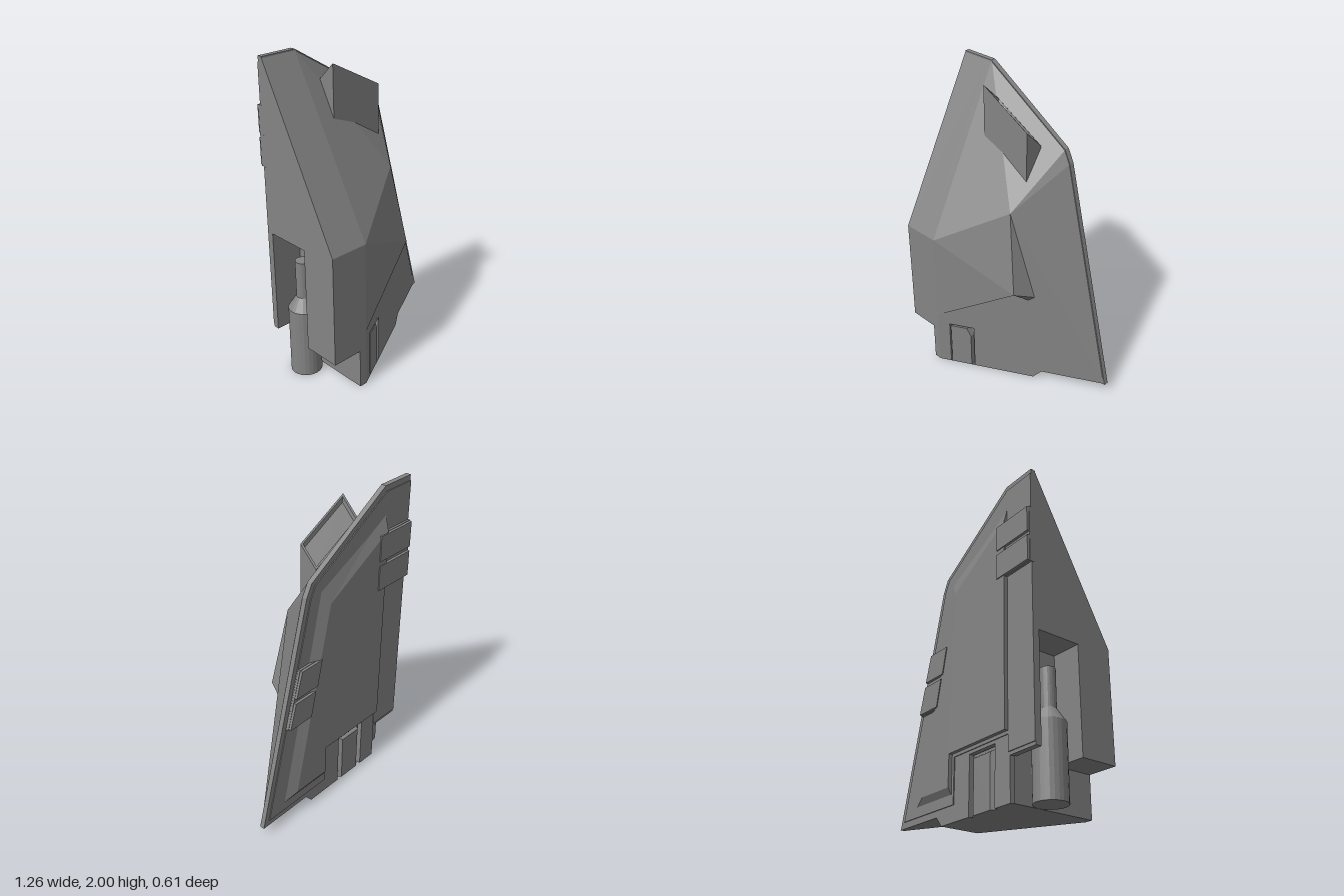
import * as THREE from 'three';

const material = new THREE.MeshStandardMaterial({ color: 0x848484, flatShading: true, side: THREE.DoubleSide });

// Depth of the slanted front wall at a given x
const wallZ = (x) => 0.3 - 0.5446 * (x + 0.38);

function makeShape(points) {
  return new THREE.Shape(points.map(([x, y]) => new THREE.Vector2(x, y)));
}

// Faceted surface from convex faces, each a list of corner points
function facets(faces) {
  const pos = [];
  for (const f of faces) {
    for (let i = 1; i < f.length - 1; i++) pos.push(...f[0], ...f[i], ...f[i + 1]);
  }
  const g = new THREE.BufferGeometry();
  g.setAttribute('position', new THREE.Float32BufferAttribute(pos, 3));
  g.computeVertexNormals();
  return g;
}

// Quads joining two matching loops of points
function band(a, b) {
  return a.map((p, i) => {
    const j = (i + 1) % a.length;
    return [p, a[j], b[j], b[i]];
  });
}

// Flat outline thickened backwards from front depth zAt(x)
function slab(points, zAt, depth) {
  const g = new THREE.ExtrudeGeometry(makeShape(points), { depth, bevelEnabled: false });
  const p = g.attributes.position;
  for (let i = 0; i < p.count; i++) p.setZ(i, p.getZ(i) - depth + zAt(p.getX(i)));
  g.computeVertexNormals();
  return g;
}

// Raised pad on the back: base outline tapering to a top outline
function pad(base, top, z0, z1) {
  const lift = (pts, z) => pts.map(([x, y]) => [x, y, z]);
  const cap = lift(top, z1);
  const faces = band(lift(base, z0), cap);
  const contour = top.map(([x, y]) => new THREE.Vector2(x, y));
  for (const [a, b, c] of THREE.ShapeUtils.triangulateShape(contour, [])) {
    faces.push([cap[a], cap[c], cap[b]]);
  }
  return facets(faces);
}

// Same outline pulled toward its centre by a margin
function inset(points, d) {
  const cx = points.reduce((s, p) => s + p[0], 0) / points.length;
  const cy = points.reduce((s, p) => s + p[1], 0) / points.length;
  return points.map(([x, y]) => [x - Math.sign(x - cx) * d, y - Math.sign(y - cy) * d]);
}

export function createModel() {
  const model = new THREE.Group();
  const add = (name, geometry) => {
    const m = new THREE.Mesh(geometry, material);
    m.name = name;
    model.add(m);
    return m;
  };

  // Faceted front: sloping upper faces, brow and overhanging nose
  const A = [-0.43, 0.97, 0.3], B = [-0.38, 0.97, 0.3], C = [-0.38, 0.38, 0.3];
  const D = [0.15, 0.725, 0.12], E = [0.06, 1.25, wallZ(0.06)], F = [0.2, 0.665, wallZ(0.2)];
  const K = [0.12, 0.68, wallZ(0.12)], L = [0.165, 0.635, wallZ(0.165)];
  const T0 = [-0.43, 2, -0.245], T1 = [-0.4, 2, -0.245], T2 = [0.21, 1.62, -0.245], T3 = [0.25, 1.54, -0.245];
  const R = [0.63, 0.06, -0.25];
  add('frontShell', facets([
    [A, B, T1, T0], [B, E, T1], [T1, E, T2], [E, T3, T2], [E, R, T3],
    [B, C, D], [B, D, E], [D, F, E], [C, K, D], [D, K, L], [D, L, F],
    [[-0.43, 0, 0.3], [-0.38, 0, 0.3], B, A],
  ]));

  // Slanted lower wall with a notch holding a block
  add('lowerWall', slab([
    [-0.38, 0], [-0.31, 0], [-0.31, 0.32], [-0.16, 0.32], [-0.16, 0], [0.2, 0], [0.25, 0.06],
    [0.63, 0.06], [0.06, 1.25], [0.2, 0.665], [0.165, 0.635], [0.12, 0.68], [-0.38, 0.38],
  ], wallZ, 0.025));
  const notch = [[-0.31, 0], [-0.31, 0.32], [-0.16, 0.32], [-0.16, 0]];
  const notchLoop = (d) => notch.map(([x, y]) => [x, y, wallZ(x) - d]);
  add('frontNotch', facets([...band(notchLoop(0.02), notchLoop(0.06)), notchLoop(0.06)]));
  const block = [[-0.302, 0], [-0.18, 0], [-0.18, 0.25], [-0.205, 0.308], [-0.302, 0.308]];
  add('frontNotchBlock', slab(block, wallZ, 0.06));

  // Underside and inner side wall
  const zb = -0.255;
  add('underside', facets([
    [[-0.43, 0, 0.3], [-0.43, 0, zb], [0.2, 0, zb], [0.2, 0, wallZ(0.2)], [-0.38, 0, 0.3]],
    [[0.2, 0, wallZ(0.2)], [0.2, 0, zb], [0.25, 0.06, zb], [0.25, 0.06, wallZ(0.25)]],
    [[0.25, 0.06, wallZ(0.25)], [0.25, 0.06, zb], R],
    [[-0.43, 0, zb], [-0.43, 0, 0.3], [-0.43, 0.97, 0.3], [-0.43, 0.97, zb]],
  ]));

  // Flat side section with an open pocket, outline given as (z, y)
  const side = new THREE.ExtrudeGeometry(makeShape([
    [0.3, 0.26], [0.3, 0.97], [-0.245, 2], [-0.26, 2], [-0.26, 0.26],
    [-0.235, 0.26], [-0.235, 0.93], [0.055, 0.93], [0.055, 0.26],
  ]), { depth: 0.2, bevelEnabled: false });
  side.rotateY(-Math.PI / 2).translate(-0.43, 0, 0);
  add('sideSection', side);

  // Stepped piston standing in the pocket
  const piston = add('piston', new THREE.LatheGeometry(
    [[0, 0], [0.098, 0], [0.098, 0.45], [0.045, 0.53], [0.045, 0.77], [0, 0.77]]
      .map(([x, y]) => new THREE.Vector2(x, y)), 24));
  piston.position.set(-0.53, 0, -0.09);

  // Back plate with a foot notch, and a thin step inside its rim
  add('backPlate', slab([
    [-0.63, 0.26], [-0.42, 0.26], [-0.42, 0], [-0.29, 0], [-0.29, 0.36], [-0.06, 0.36], [-0.06, 0],
    [0.2, 0], [0.25, 0.06], [0.63, 0.06], [0.25, 1.54], [0.21, 1.62], [-0.4, 2], [-0.63, 2],
  ], () => -0.24, 0.032));
  add('backPlateStep', slab([
    [-0.63, 0.28], [-0.41, 0.28], [-0.41, 0.38], [0.08, 0.38], [0.08, 0.1], [0.585, 0.1],
    [0.22, 1.53], [0.185, 1.6], [-0.41, 1.965], [-0.63, 1.965],
  ], () => -0.265, 0.013));
  add('backNotchBacking', slab([[-0.3, 0], [-0.05, 0], [-0.05, 0.37], [-0.3, 0.37]], () => -0.215, 0.015));
  const foot = [[-0.28, 0.35], [-0.07, 0.35], [-0.07, 0], [-0.28, 0]];
  add('backNotchBlock', pad(foot, [[-0.25, 0.325], [-0.1, 0.325], [-0.1, 0], [-0.25, 0]], -0.23, -0.272));

  // Raised back panel with sloping borders
  add('backPanel', pad(
    [[-0.41, 1.85], [0.155, 1.57], [0.48, 0.15], [0.1, 0.15], [0.1, 0.4], [-0.41, 0.4]],
    [[-0.41, 1.73], [0.08, 1.45], [0.36, 0.2], [0.1, 0.2], [0.1, 0.4], [-0.41, 0.4]],
    -0.27, -0.302));

  // Paired clips on both long edges of the back, each pair on a shared base
  const clips = (name, outline, rows) => {
    const [lo, hi] = [rows[0][0], rows[1][1]];
    add(name + 'Base', pad(outline(lo, hi), outline(lo, hi), -0.26, -0.292));
    for (const [a, b] of rows) {
      const o = outline(a, b);
      add(name, pad(o, inset(o, 0.005), -0.26, -0.307));
    }
  };
  clips('innerEdgeClip', (lo, hi) => [[-0.632, hi], [-0.34, hi], [-0.34, lo], [-0.632, lo]],
    [[1.35, 1.525], [1.545, 1.72]]);
  const edge = (y) => 0.328 - 0.26 * (y - 1.1);
  clips('outerEdgeClip', (lo, hi) => [[edge(hi) - 0.18, hi], [edge(hi), hi], [edge(lo), lo], [edge(lo) - 0.19, lo]],
    [[0.73, 0.91], [0.93, 1.11]]);

  // Scoop on the upper slope: a (z, y) section slid down along x
  const at = (x, z, y) => [x, y - 0.54 * (x + 0.28), z];
  const x0 = -0.28, x1 = 0.075;
  const loop = (margin, zf, yf, zr, yr) => [
    at(x0 + margin, zf, yf), at(x1 - margin, zf, yf), at(x1 - margin, zr, yr), at(x0 + margin, zr, yr),
  ];
  const foundation = loop(0, -0.06, 1.55, -0.18, 1.55);
  const rim = loop(0, -0.06, 1.93, -0.18, 1.81);
  const lip = loop(0.012, -0.068, 1.922, -0.172, 1.818);
  const floor = loop(0.015, -0.07, 1.89, -0.17, 1.79);
  add('scoop', facets([...band(foundation, rim), ...band(rim, lip), ...band(lip, floor), floor]));

  return model;
}
